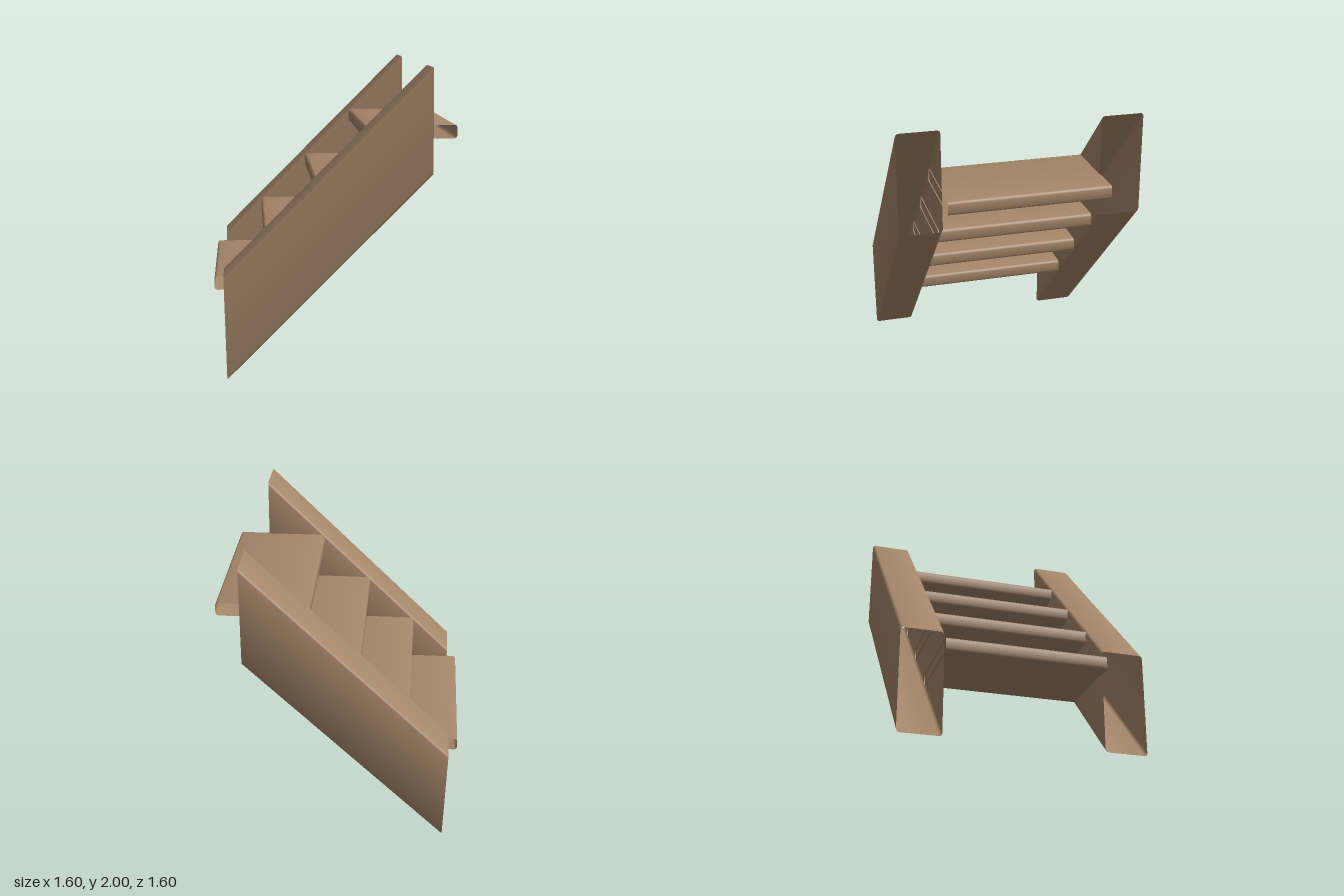
import * as THREE from 'three';

const wood = new THREE.MeshStandardMaterial({ color: 0xa5866a, side: THREE.DoubleSide });

// Counter-clockwise rounded rectangle as [u, v] pairs
function roundedLoop(u0, u1, v0, v1, ru, rv) {
  const corners = [[u1 - ru, v0 + rv], [u1 - ru, v1 - rv], [u0 + ru, v1 - rv], [u0 + ru, v0 + rv]];
  const loop = [];
  corners.forEach(([u, v], k) => {
    for (let s = 0; s <= 2; s++) {
      const a = (k - 1 + s / 2) * Math.PI / 2;
      loop.push([u + ru * Math.cos(a), v + rv * Math.sin(a)]);
    }
  });
  return loop;
}

// Open-ended shell between two matching loops, shaded softly around its edges
function shell(startLoop, endLoop) {
  const n = startLoop.length;
  const sideNormals = startLoop.map((p, i) =>
    startLoop[(i + 1) % n].clone().sub(p).cross(endLoop[i].clone().sub(p)).normalize());
  const normals = sideNormals.map((v, i) => v.clone().add(sideNormals[(i + n - 1) % n]).normalize());
  const flat = list => list.flatMap(v => v.toArray());
  const index = [];
  for (let i = 0; i < n; i++) {
    const j = (i + 1) % n;
    index.push(i, j, n + i, j, n + j, n + i);
  }
  const g = new THREE.BufferGeometry();
  g.setAttribute('position', new THREE.Float32BufferAttribute(flat([...startLoop, ...endLoop]), 3));
  g.setAttribute('normal', new THREE.Float32BufferAttribute(flat([...normals, ...normals]), 3));
  g.setIndex(index);
  return g;
}

export function createModel() {
  const group = new THREE.Group();
  const add = (name, geometry) => {
    const mesh = new THREE.Mesh(geometry, wood);
    mesh.name = name;
    group.add(mesh);
    return mesh;
  };

  // Hollow sloping side beams, open at both nearly vertical ends
  const beamLoop = roundedLoop(0, 1, -0.14, 0.14, 0.03, 0.018);
  const beamEnd = (xBottom, xTop, yBottom, yTop) => beamLoop.map(([t, z]) =>
    new THREE.Vector3(xBottom + (xTop - xBottom) * t, yBottom + (yTop - yBottom) * t, z));
  const beam = shell(beamEnd(-0.722, -0.735, 0, 0.68), beamEnd(0.597, 0.587, 1.325, 2));
  add('frontStringer', beam).position.z = 0.66;
  add('backStringer', beam).position.z = -0.66;

  // Treads with rounded noses, their open ends tucked into the side beams
  const treadLoop = roundedLoop(-0.305, 0.305, -0.045, 0.045, 0.018, 0.018);
  const treadEnd = z => treadLoop.map(([x, y]) => new THREE.Vector3(x, y, z));
  const tread = shell(treadEnd(-0.527), treadEnd(0.527));
  for (let i = 0; i < 4; i++) {
    add('tread' + (i + 1), tread).position.set(-0.495 + 0.33 * i, 0.575 + 0.33 * i, 0);
  }
  return group;
}
